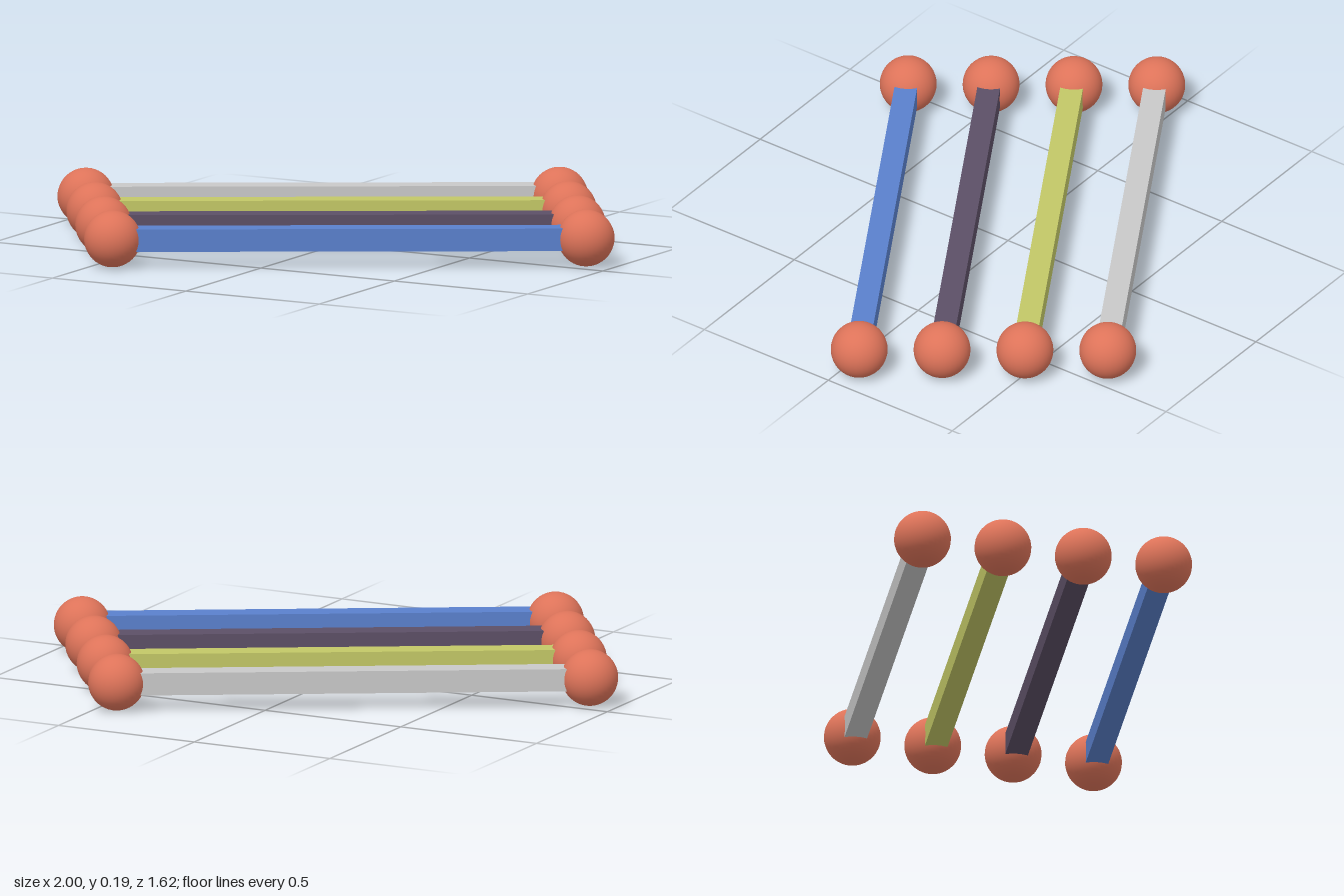
import * as THREE from 'three';

const mat = (name, color) => {
  const m = new THREE.MeshStandardMaterial({ color });
  m.name = name;
  return m;
};

export function createModel() {
  const group = new THREE.Group();
  group.name = 'barbellRow';

  const ballRadius = 0.093;
  const barSize = 0.0745;
  const length = 1.547; // distance between ball centres
  const centreY = 0.098;

  const ballMaterial = mat('coral', 0xdd7359);
  const barMaterials = [
    mat('lightGrey', 0xc8c8c8),
    mat('olive', 0xc2c766),
    mat('plum', 0x5c4f66),
    mat('blue', 0x5a80cc),
  ];

  const ballGeometry = new THREE.SphereGeometry(ballRadius, 32, 24);
  const barGeometry = new THREE.BoxGeometry(length, barSize, barSize);

  // Four parallel bars, stepped from back to front, each with a ball at both ends
  barMaterials.forEach((material, i) => {
    const step = i - 1.5;
    const unit = new THREE.Group();
    unit.name = `barbell${i + 1}`;
    unit.position.set(step * 0.1573, centreY, step * 0.2203);
    unit.rotation.y = Math.PI / 6;

    const bar = new THREE.Mesh(barGeometry, material);
    bar.name = 'bar';
    unit.add(bar);

    for (const side of [-1, 1]) {
      const ball = new THREE.Mesh(ballGeometry, ballMaterial);
      ball.name = side > 0 ? 'leftBall' : 'rightBall';
      ball.position.x = (side * length) / 2;
      unit.add(ball);
    }
    group.add(unit);
  });

  return group;
}
